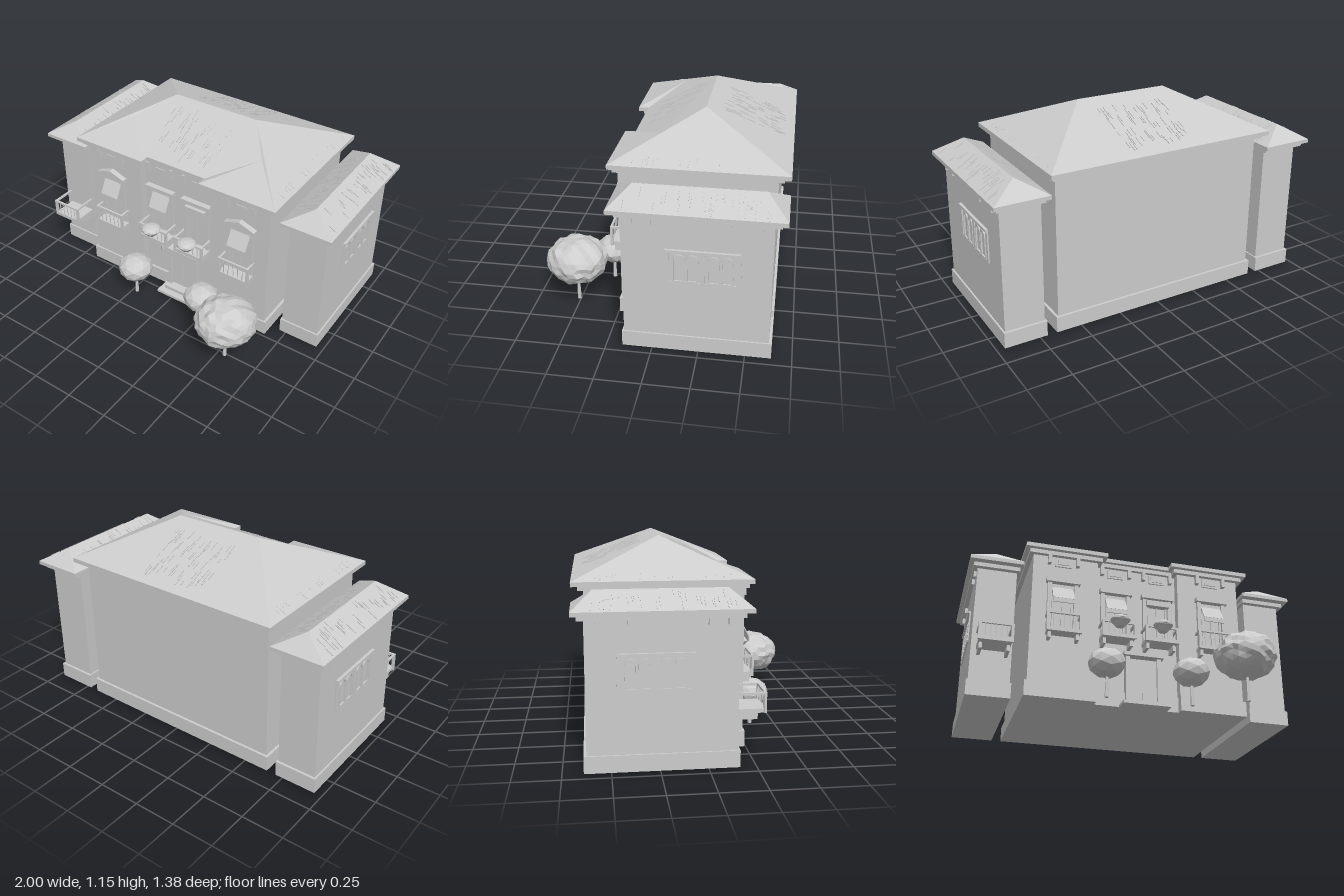
import * as THREE from 'three';
import { mergeGeometries } from 'three/addons/utils/BufferGeometryUtils.js';

const plaster = new THREE.MeshStandardMaterial({ color: 0xcccccc, flatShading: true, side: THREE.DoubleSide });
plaster.name = 'light grey plaster';

let seed = 7;
const rand = () => (seed = (seed * 16807) % 2147483647) / 2147483647;
const V = (p) => new THREE.Vector3(...p);

function add(parent, name, geo, x = 0, y = 0, z = 0) {
  const m = new THREE.Mesh(geo, plaster);
  m.name = name;
  m.position.set(x, y, z);
  parent.add(m);
  return m;
}
function group(parent, name, x = 0, y = 0, z = 0) {
  const g = new THREE.Group();
  g.name = name;
  g.position.set(x, y, z);
  parent.add(g);
  return g;
}
// Box given by its limits
function block(parent, name, x0, x1, y0, y1, z0, z1) {
  return add(parent, name, new THREE.BoxGeometry(x1 - x0, y1 - y0, z1 - z0),
    (x0 + x1) / 2, (y0 + y1) / 2, (z0 + z1) / 2);
}
// Floor plan [x, z] raised from y0 to y1
function slab(parent, name, plan, y0, y1) {
  const shape = new THREE.Shape(plan.map(([x, z]) => new THREE.Vector2(x, -z)));
  const geo = new THREE.ExtrudeGeometry(shape, { depth: y1 - y0, bevelEnabled: false }).rotateX(-Math.PI / 2);
  return add(parent, name, geo, 0, y0, 0);
}
// Polygons split into fans; every roof face is turned upward
function roofSkin(parent, name, polygons) {
  const pos = [];
  for (const p of polygons) {
    for (let i = 1; i < p.length - 1; i++) {
      const t = [p[0], p[i], p[i + 1]].map(V);
      const up = t[1].clone().sub(t[0]).cross(t[2].clone().sub(t[0])).y;
      (up < 0 ? [t[0], t[2], t[1]] : t).forEach((v) => pos.push(v.x, v.y, v.z));
    }
  }
  const geo = new THREE.BufferGeometry();
  geo.setAttribute('position', new THREE.Float32BufferAttribute(pos, 3));
  geo.computeVertexNormals();
  return add(parent, name, geo);
}
// Short raised tile ridges running down a slope [eave0, eave1, top0, top1]
function tiles(parent, slopes) {
  const parts = [];
  for (const [a, b, c, d, count] of slopes) {
    const [e0, e1, t0, t1] = [a, b, c, d].map(V);
    const along = e1.clone().sub(e0).normalize();
    const n = along.clone().cross(t0.clone().sub(e0)).normalize();
    if (n.y < 0) { n.negate(); along.negate(); }
    const up = n.clone().cross(along);
    for (let i = 0; i < count; i++) {
      const u = 0.05 + rand() * 0.9, v = 0.15 + rand() * 0.65;
      const p = e0.clone().lerp(e1, u).lerp(t0.clone().lerp(t1, u), v);
      const g = new THREE.BoxGeometry(0.004, 0.03 + rand() * 0.04, 0.008);
      parts.push(g.applyMatrix4(new THREE.Matrix4().makeBasis(along, up, n).setPosition(p)));
    }
  }
  add(parent, 'roofTiles', mergeGeometries(parts));
}
// Plan of the main house with two forward bays
function housePlan(w, back, bay, centre, inner) {
  return [[-w, back], [w, back], [w, bay], [inner, bay], [inner, centre], [-inner, centre], [-inner, bay], [-w, bay]];
}

function mainRoof(parent) {
  const g = group(parent, 'mainRoof');
  const y = 0.945;
  slab(g, 'eaves', housePlan(0.69, -0.69, 0.28, 0.22, 0.2), 0.92, y);
  slab(g, 'cornice', housePlan(0.665, -0.655, 0.255, 0.2, 0.225), 0.895, 0.92);
  const R = (s) => [0.28 * s, 1.15, -0.2], P = (s) => [0.45 * s, 1.05, 0.02], Q = (s) => [0.45 * s, 1.05, -0.44];
  const A = (s) => [0.69 * s, y, 0.28], B = (s) => [0.69 * s, y, -0.69];
  const F = (s) => [0.2 * s, y, 0.22], K = (s) => [0.2 * s, y, -0.69];
  const faces = [[R(-1), P(-1), F(-1), F(1), P(1), R(1)], [R(-1), Q(-1), K(-1), K(1), Q(1), R(1)]];
  for (const s of [-1, 1]) {
    faces.push([R(s), P(s), A(s), B(s), Q(s)], [P(s), A(s), [0.2 * s, y, 0.28], F(s)], [Q(s), B(s), K(s)]);
  }
  roofSkin(g, 'roofSlopes', faces);
  tiles(g, [[F(-1), F(1), R(-1), R(1), 60], [K(-1), K(1), R(-1), R(1), 70],
    [A(1), B(1), P(1), Q(1), 70], [A(-1), B(-1), P(-1), Q(-1), 70]]);
}

// Side wing, s = side of the house
function wing(parent, s) {
  const g = group(parent, s > 0 ? 'leftWing' : 'rightWing');
  const X = (a, b) => (s > 0 ? [a, b] : [-b, -a]);
  block(g, 'wingPlinth', ...X(0.712, 0.96), 0.01, 0.1, -0.64, 0.16);
  block(g, 'wingWall', ...X(0.72, 0.95), 0.1, 0.81, -0.625, 0.15);
  block(g, 'wingCornice', ...X(0.705, 0.975), 0.795, 0.82, -0.66, 0.18);
  block(g, 'wingEaves', ...X(0.69, 1), 0.82, 0.842, -0.69, 0.22);
  const y = 0.842, c = (x, z) => [x * s, y, z], f = [0.845 * s, 0.93, 0.11], b = [0.845 * s, 0.93, -0.58];
  const [i0, o0, i1, o1] = [c(0.69, 0.22), c(1, 0.22), c(0.69, -0.69), c(1, -0.69)];
  roofSkin(g, 'wingRoof', [[i0, o0, f], [i1, o1, b], [i0, f, b, i1], [o0, f, b, o1]]);
  tiles(g, [[i0, i1, f, b, 40], [o0, o1, f, b, 40]]);
  for (const z of [-0.56, -0.4, 0.0, 0.1]) block(g, 'wingBracket', ...X(0.95, 0.967), 0.76, 0.8, z - 0.008, z + 0.008);
  // Paired arched windows on the outer wall
  block(g, 'sideLintel', ...X(0.945, 0.966), 0.608, 0.624, -0.465, -0.075);
  block(g, 'sideSill', ...X(0.945, 0.956), 0.425, 0.435, -0.46, -0.08);
  for (const z of [-0.085, -0.27, -0.455]) block(g, 'sidePilaster', ...X(0.945, 0.958), 0.43, 0.61, z - 0.012, z + 0.012);
  for (const z of [-0.145, -0.215, -0.325, -0.395]) {
    const arch = new THREE.Shape().moveTo(-0.032, 0).lineTo(0.032, 0).lineTo(0.032, 0.13);
    arch.absarc(0, 0.13, 0.032, 0, Math.PI, false);
    const hole = new THREE.Path().moveTo(-0.023, 0.008).lineTo(0.023, 0.008).lineTo(0.023, 0.13);
    hole.absarc(0, 0.13, 0.023, 0, Math.PI, false);
    arch.holes.push(hole);
    const geo = new THREE.ExtrudeGeometry(arch, { depth: 0.009, bevelEnabled: false, curveSegments: 6 });
    add(g, 'archedFrame', geo, 0.949 * s, 0.434, z).rotation.y = (s * Math.PI) / 2;
  }
}

// Balcony with slab, rails, posts and brackets; back edge at z = 0
function balcony(parent, name, x, y, z, w, h, d) {
  const g = group(parent, name, x, y, z), k = w / 2;
  block(g, 'balconyFloor', -k, k, 0, 0.022, 0, d);
  block(g, 'frontRail', -k, k, h - 0.012, h, d - 0.012, d);
  for (const s of [-1, 1]) {
    block(g, 'sideRail', s * k - 0.006, s * k + 0.006, h - 0.012, h, 0, d);
    block(g, 'cornerPost', s * k - 0.008, s * k + 0.008, 0, h, d - 0.014, d);
    block(g, 'bracket', s * k * 0.85 - 0.009, s * k * 0.85 + 0.009, -0.035, 0, 0, d * 0.7);
  }
  const n = Math.round(w / 0.03);
  for (let i = 1; i < n; i++) add(g, 'baluster', new THREE.CylinderGeometry(0.003, 0.003, h, 5), -k + (w * i) / n, h / 2, d - 0.007);
}

// Tall window with frame, awning and either a pediment or a flat cap
function frontWindow(parent, x, z, pediment, awning) {
  const g = group(parent, 'frontWindow', x, 0, z);
  for (const s of [-1, 1]) {
    block(g, 'jamb', s * 0.078 - 0.012, s * 0.078 + 0.012, 0.42, 0.72, 0, 0.018);
    block(g, 'innerJamb', s * 0.055 - 0.006, s * 0.055 + 0.006, 0.42, 0.69, 0, 0.01);
  }
  block(g, 'lintel', -0.1, 0.1, 0.715, 0.74, 0, 0.035);
  block(g, 'mullion', -0.004, 0.004, 0.42, 0.69, 0, 0.007);
  if (pediment) {
    const tri = new THREE.Shape([[-0.1, 0], [0.1, 0], [0, 0.035]].map((p) => new THREE.Vector2(...p)));
    add(g, 'pediment', new THREE.ExtrudeGeometry(tri, { depth: 0.035, bevelEnabled: false }), 0, 0.74, 0);
  }
  if (awning) {
    add(g, 'awning', new THREE.BoxGeometry(0.125, 0.1, 0.006), 0, 0.645, 0.03).rotation.x = -0.5;
    block(g, 'awningValance', -0.0625, 0.0625, 0.575, 0.602, 0.05, 0.056);
  } else block(g, 'windowHood', -0.07, 0.07, 0.665, 0.7, 0, 0.04);
  // Attic window and eave brackets above
  block(g, 'atticFrame', -0.05, 0.05, 0.83, 0.885, 0, 0.008);
  block(g, 'atticPane', -0.035, 0.035, 0.842, 0.873, 0.008, 0.013);
  for (const s of [-1, 1]) block(g, 'eaveBracket', s * 0.085 - 0.01, s * 0.085 + 0.01, 0.84, 0.9, 0, 0.028);
}

// Lumpy faceted crown on a forked trunk
function tree(parent, name, x, z, y, rx, ry, detail, rough) {
  const g = group(parent, name, x, 0, z);
  const geo = new THREE.IcosahedronGeometry(1, detail);
  const p = geo.attributes.position, v = new THREE.Vector3();
  for (let i = 0; i < p.count; i++) {
    v.fromBufferAttribute(p, i);
    const k = 1 + rough * Math.sin(v.x * 9 + v.y * 5) * Math.cos(v.z * 8 - v.y * 7);
    p.setXYZ(i, v.x * k * rx, v.y * k * ry, v.z * k * rx);
  }
  geo.computeVertexNormals();
  add(g, 'crown', geo, 0, y, 0);
  const h = y - ry * 0.7;
  add(g, 'trunk', new THREE.CylinderGeometry(0.007, 0.012, h, 6), 0, h / 2, 0);
  for (const s of [-1, 1]) add(g, 'branch', new THREE.CylinderGeometry(0.004, 0.007, 0.08, 5), s * 0.018, h, 0).rotation.z = -s * 0.6;
  return g;
}

export function createModel() {
  const root = new THREE.Group();
  root.name = 'villa';

  // Main house
  slab(root, 'mainPlinth', housePlan(0.655, -0.64, 0.24, 0.195, 0.25), 0.01, 0.1);
  slab(root, 'mainWalls', housePlan(0.64, -0.625, 0.23, 0.18, 0.25), 0.1, 0.9);
  mainRoof(root);
  for (const s of [-1, 1]) wing(root, s);

  // Front windows and balconies
  for (const s of [-1, 1]) {
    frontWindow(root, 0.46 * s, 0.23, true, true);
    balcony(root, 'bayBalcony', 0.455 * s, 0.385, 0.23, 0.19, 0.12, 0.075);
    frontWindow(root, 0.13 * s, 0.18, false, s < 0);
    balcony(root, 'centreBalcony', 0.13 * s, 0.4, 0.18, 0.19, 0.1, 0.11);
    const pot = group(root, 'flowerBowl', 0.13 * s, 0.475, 0.3);
    add(pot, 'bowl', new THREE.CylinderGeometry(0.055, 0.025, 0.035, 8));
    add(pot, 'flowers', new THREE.IcosahedronGeometry(0.06, 1), 0, 0.025, 0).scale.y = 0.45;
  }
  balcony(root, 'wingBalcony', -0.83, 0.285, 0.15, 0.18, 0.11, 0.15);

  // Entrance
  const door = group(root, 'entrance', 0.035, 0, 0.18);
  block(door, 'doorPanel', -0.085, 0.085, 0.05, 0.31, 0, 0.02);
  for (const s of [-1, 1]) block(door, 'doorJamb', s * 0.095 - 0.012, s * 0.095 + 0.012, 0.04, 0.32, 0, 0.035);
  block(door, 'doorCornice', -0.12, 0.12, 0.32, 0.342, 0, 0.055);
  block(door, 'doorSeam', -0.003, 0.003, 0.05, 0.31, 0.02, 0.024);
  block(door, 'upperStep', -0.11, 0.11, 0.01, 0.045, 0, 0.07);
  block(door, 'lowerStep', -0.14, 0.14, 0.005, 0.022, 0, 0.11);
  add(root, 'wallLamp', new THREE.CylinderGeometry(0.015, 0.009, 0.045, 6), -0.115, 0.3, 0.205);

  // Garden trees
  tree(root, 'leftSmallTree', -0.22, 0.355, 0.2, 0.108, 0.083, 1, 0.03);
  tree(root, 'rightSmallTree', 0.275, 0.355, 0.2, 0.108, 0.083, 1, 0.03);
  tree(root, 'largeTree', 0.545, 0.51, 0.27, 0.175, 0.13, 4, 0.07);
  return root;
}
